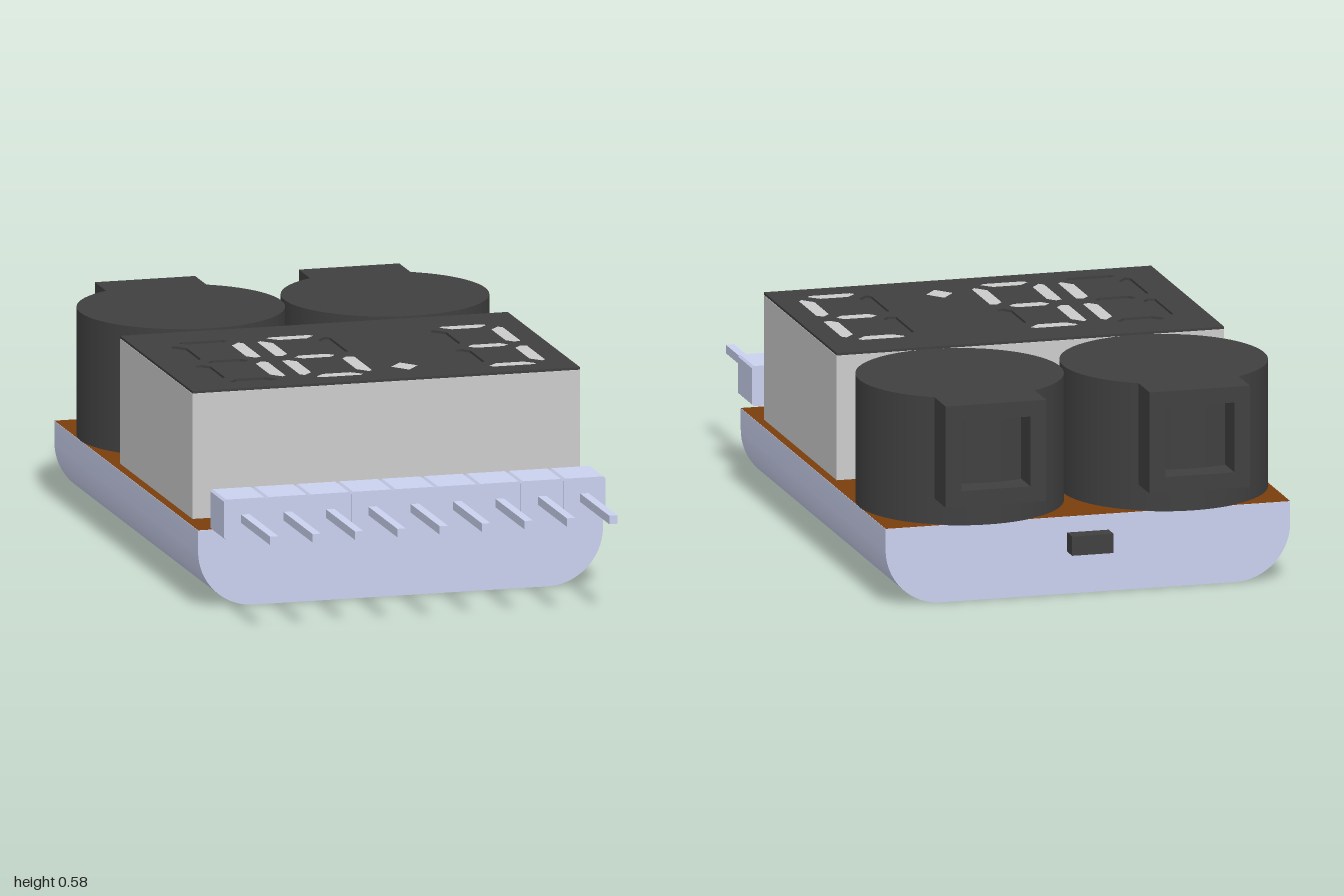
import * as THREE from 'three';
import { toCreasedNormals } from 'three/addons/utils/BufferGeometryUtils.js';

const material = (color) => new THREE.MeshStandardMaterial({ color });

export function createModel() {
  const model = new THREE.Group();
  const casing = material(0xcad1ee), grey = material(0xcccccc), black = material(0x404040);
  const brown = material(0x7a3d0c), light = material(0xc4c4c4);

  const add = (name, geometry, mat, parent = model) => {
    const mesh = new THREE.Mesh(geometry, mat);
    mesh.name = name;
    parent.add(mesh);
    return mesh;
  };
  // box given by its limits on each axis
  const box = (x0, x1, y0, y1, z0, z1) =>
    new THREE.BoxGeometry(x1 - x0, y1 - y0, z1 - z0)
      .translate((x0 + x1) / 2, (y0 + y1) / 2, (z0 + z1) / 2);
  const polygon = (points) => new THREE.Shape(points.map(([x, y]) => new THREE.Vector2(x, y)));
  const extrude = (shape, depth, curveSegments = 16) =>
    new THREE.ExtrudeGeometry(shape, { depth, bevelEnabled: false, curveSegments });

  // tray with two rounded lower edges
  const W = 0.585, H = 0.22, R = 0.16;
  const tray = new THREE.Shape();
  tray.moveTo(-W, H);
  tray.lineTo(-W, R);
  tray.absarc(-W + R, R, R, Math.PI, Math.PI * 1.5);
  tray.lineTo(W - R, 0);
  tray.absarc(W - R, R, R, -Math.PI / 2, 0);
  tray.lineTo(W, H);
  add('tray', toCreasedNormals(extrude(tray, 1.46).translate(0, 0, -0.9), 0.5), casing);

  // circuit board surface
  add('board', new THREE.PlaneGeometry(2 * W, 1.46).rotateX(-Math.PI / 2)
    .translate(0, H + 0.001, -0.17), brown);

  // seven-segment outlines around a digit centre, y pointing to the back
  const hw = 0.085, hh = 0.245, t = 0.022;
  const bar = (s) => [[-0.058, s * (hh + t)], [0.058, s * (hh + t)], [0.07, s * (hh + 0.008)],
    [0.04, s * (hh - t)], [-0.04, s * (hh - t)], [-0.07, s * (hh + 0.008)]];
  const post = (sx, sy) => [[sx * (hw + 0.02), sy * 0.032], [sx * (hw + 0.02), sy * 0.215],
    [sx * (hw + 0.008), sy * 0.228], [sx * (hw - 0.02), sy * 0.195],
    [sx * (hw - 0.02), sy * 0.048], [sx * hw, sy * 0.025]];
  const middle = [[-0.06, 0], [-0.04, t], [0.04, t], [0.06, 0], [0.04, -t], [-0.04, -t]];
  const segments = [bar(1), post(1, 1), post(1, -1), bar(-1), post(-1, -1), post(-1, 1), middle];
  const digits = [
    { x: -0.36, lit: [1, 2] },
    { x: -0.11, lit: [0, 2, 3, 4, 5, 6] },
    { x: 0.39, lit: [0, 1, 2, 3, 6] },
  ];

  // display block with a cut-out face plate
  const display = new THREE.Group();
  display.name = 'display';
  model.add(display);
  const top = 0.585;
  add('displayBody', box(-0.56, 0.56, H, top - 0.008, -0.32, 0.415), grey, display);
  const flat = (geometry, y) => geometry.rotateX(-Math.PI / 2).translate(0, y, 0);
  const faceOutline = [[-0.56, -0.415], [0.56, -0.415], [0.56, 0.32], [-0.56, 0.32]];
  const face = polygon(faceOutline);
  add('displayFloor', flat(new THREE.ShapeGeometry(polygon(faceOutline)), top - 0.007), black, display);
  const cut = (points, lit) => {
    face.holes.push(new THREE.Path(polygon(points).getPoints()));
    if (lit) add('litSegment', flat(new THREE.ShapeGeometry(polygon(points)), top - 0.001), light, display);
  };
  digits.forEach(({ x, lit }) => segments.forEach((points, i) =>
    cut(points.map(([px, py]) => [px + x, py - 0.075]), lit.includes(i))));
  cut([[0.055, -0.265], [0.095, -0.315], [0.135, -0.265], [0.095, -0.215]], true);
  add('displayFace', flat(extrude(face, 0.007), top - 0.007), black, display);

  // status lamp
  add('lamp', new THREE.SphereGeometry(0.046, 24, 16).translate(0, H + 0.005, -0.395), casing);

  // round buzzers with square sound openings at the back
  for (const side of [-1, 1]) {
    const buzzer = new THREE.Group();
    buzzer.name = side > 0 ? 'leftBuzzer' : 'rightBuzzer';
    buzzer.position.x = side * 0.295;
    model.add(buzzer);
    add('buzzerBody', new THREE.CylinderGeometry(0.29, 0.29, top - H, 64)
      .translate(0, (top + H) / 2, -0.635), black, buzzer);
    const frame = polygon([[-0.145, 0.295], [0.145, 0.295], [0.145, top], [-0.145, top]]);
    frame.holes.push(new THREE.Path(
      polygon([[-0.1, 0.34], [-0.1, 0.54], [0.1, 0.54], [0.1, 0.34]]).getPoints()));
    add('soundOpening', extrude(frame, 0.2).translate(0, 0, -1), black, buzzer);
  }

  // push button in the rear wall
  add('button', box(-0.06, 0.06, 0.12, 0.175, -0.95, -0.89), black);

  // pin header: chamfered blocks with square pins, the middle pin bent down
  const header = new THREE.Group();
  header.name = 'pinHeader';
  model.add(header);
  const b = 0.061, c = 0.006, y0 = 0.222, y1 = 0.337;
  const block = extrude(polygon([[-b + c, y0], [b - c, y0], [b, y0 + c], [b, y1 - c],
    [b - c, y1], [-b + c, y1], [-b, y1 - c], [-b, y0 + c]]), 0.14).translate(0, 0, 0.565);
  const p = 0.012, py = 0.28;
  const straightPin = box(-p, p, py - p, py + p, 0.485, 1);
  const bend = new THREE.Shape();
  bend.moveTo(1, py - p);
  bend.lineTo(1, py + p);
  bend.lineTo(0.49, py + p);
  bend.absarc(0.49, py - 0.026, 0.038, Math.PI / 2, Math.PI);
  bend.lineTo(0.452, H - 0.02);
  bend.lineTo(0.476, H - 0.02);
  bend.lineTo(0.476, py - 0.026);
  bend.absarc(0.49, py - 0.026, 0.014, Math.PI, Math.PI / 2, true);
  const bentPin = toCreasedNormals(
    extrude(bend, 2 * p, 8).rotateY(-Math.PI / 2).translate(p, 0, 0), 0.5);
  for (let i = -4; i <= 4; i++) {
    add('headerBlock', block, casing, header).position.x = i * 0.1225;
    add('pin', i === 0 ? bentPin : straightPin, casing, header).position.x = i * 0.1225;
  }

  return model;
}
